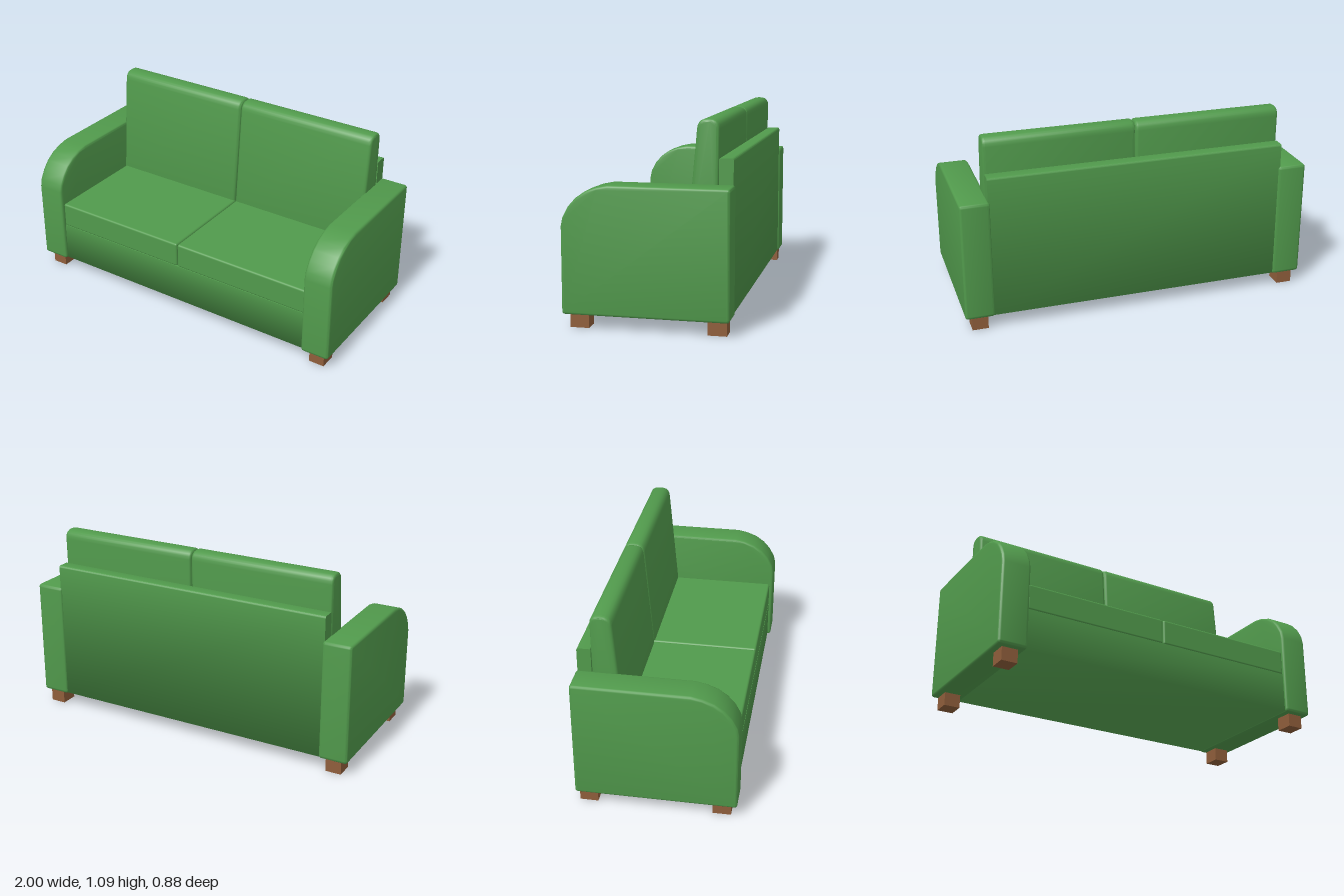
import * as THREE from 'three';
import { toCreasedNormals } from 'three/addons/utils/BufferGeometryUtils.js';
import { RoundedBoxGeometry } from 'three/addons/geometries/RoundedBoxGeometry.js';

// Closed shape from [z, y, cornerRadius] points; a radius rounds that corner.
function roundedProfile(points) {
  const shape = new THREE.Shape();
  const n = points.length;
  points.forEach(([z, y, r = 0], i) => {
    const corner = new THREE.Vector2(z, y);
    const toward = ([a, b]) =>
      new THREE.Vector2(a, b).sub(corner).setLength(r).add(corner);
    const start = r ? toward(points[(i + n - 1) % n]) : corner;
    if (i === 0) shape.moveTo(start.x, start.y);
    else shape.lineTo(start.x, start.y);
    if (r) {
      const end = toward(points[(i + 1) % n]);
      shape.quadraticCurveTo(z, y, end.x, end.y);
    }
  });
  shape.closePath();
  return shape;
}

// Extrude a side profile (z, y) across the width from x0 to x1.
function acrossWidth(points, x0, x1, bevel) {
  const geometry = new THREE.ExtrudeGeometry(roundedProfile(points), {
    depth: x1 - x0 - 2 * bevel,
    bevelEnabled: bevel > 0,
    bevelSize: bevel,
    bevelThickness: bevel,
    bevelOffset: -bevel,
    bevelSegments: 3,
    curveSegments: 5,
  });
  geometry.rotateY(-Math.PI / 2);
  geometry.translate(x1 - bevel, 0, 0);
  return toCreasedNormals(geometry, 0.75);
}

export function createModel() {
  const sofa = new THREE.Group();
  sofa.name = 'sofa';
  const fabric = new THREE.MeshStandardMaterial({ color: 0x519a4c });
  fabric.name = 'green fabric';
  const wood = new THREE.MeshStandardMaterial({ color: 0x8f5e3b });
  wood.name = 'brown wood';

  const add = (name, geometry, material = fabric) => {
    const mesh = new THREE.Mesh(geometry, material);
    mesh.name = name;
    sofa.add(mesh);
    return mesh;
  };

  // L-shaped frame: seat base and back panel in one piece
  const frame = acrossWidth([
    [0.42, 0.08], [0.42, 0.31], [-0.355, 0.31], [-0.355, 0.89, 0.008],
    [-0.43, 0.89, 0.012], [-0.43, 0.08],
  ], -0.845, 0.845, 0);
  // Soft normals on the bottom corners blend front, underside and back
  const { position, normal } = frame.attributes;
  for (let i = 0; i < position.count; i++) {
    if (position.getY(i) < 0.1 && Math.abs(normal.getX(i)) < 0.5) {
      const soft = new THREE.Vector3(
        Math.sign(position.getX(i)), -1, Math.sign(position.getZ(i))).normalize();
      normal.setXYZ(i, soft.x, soft.y, soft.z);
    }
  }
  add('frame', frame);

  const armProfile = [
    [0.44, 0.075, 0.018], [0.44, 0.54], [0.43, 0.585], [0.4, 0.64],
    [0.36, 0.685], [0.31, 0.72], [0.25, 0.743], [0.19, 0.755],
    [-0.44, 0.755, 0.018], [-0.44, 0.075, 0.018],
  ];
  const backCushionProfile = [
    [-0.185, 0.44, 0.018], [-0.243, 1.087, 0.05],
    [-0.357, 1.087, 0.05], [-0.35, 0.44, 0.018],
  ];

  for (const [side, s] of [['left', 1], ['right', -1]]) {
    // Place a span of x on the chosen side
    const span = (a, b) => (s > 0 ? [a, b] : [-b, -a]);

    add(`${side}Arm`, acrossWidth(armProfile, ...span(0.835, 1), 0.014));
    add(`${side}BackCushion`,
      acrossWidth(backCushionProfile, ...span(0.002, 0.847), 0.016));

    const seat = add(`${side}SeatCushion`,
      new RoundedBoxGeometry(0.836, 0.147, 0.77, 3, 0.012));
    seat.position.set(s * 0.42, 0.3815, 0.035);

    // Square feet under each arm
    for (const [end, z] of [['Front', 0.355], ['Back', -0.372]]) {
      const foot = add(`${side}${end}Foot`,
        new THREE.BoxGeometry(0.09, 0.08, 0.1), wood);
      foot.position.set(s * 0.918, 0.04, z);
    }
  }
  return sofa;
}
